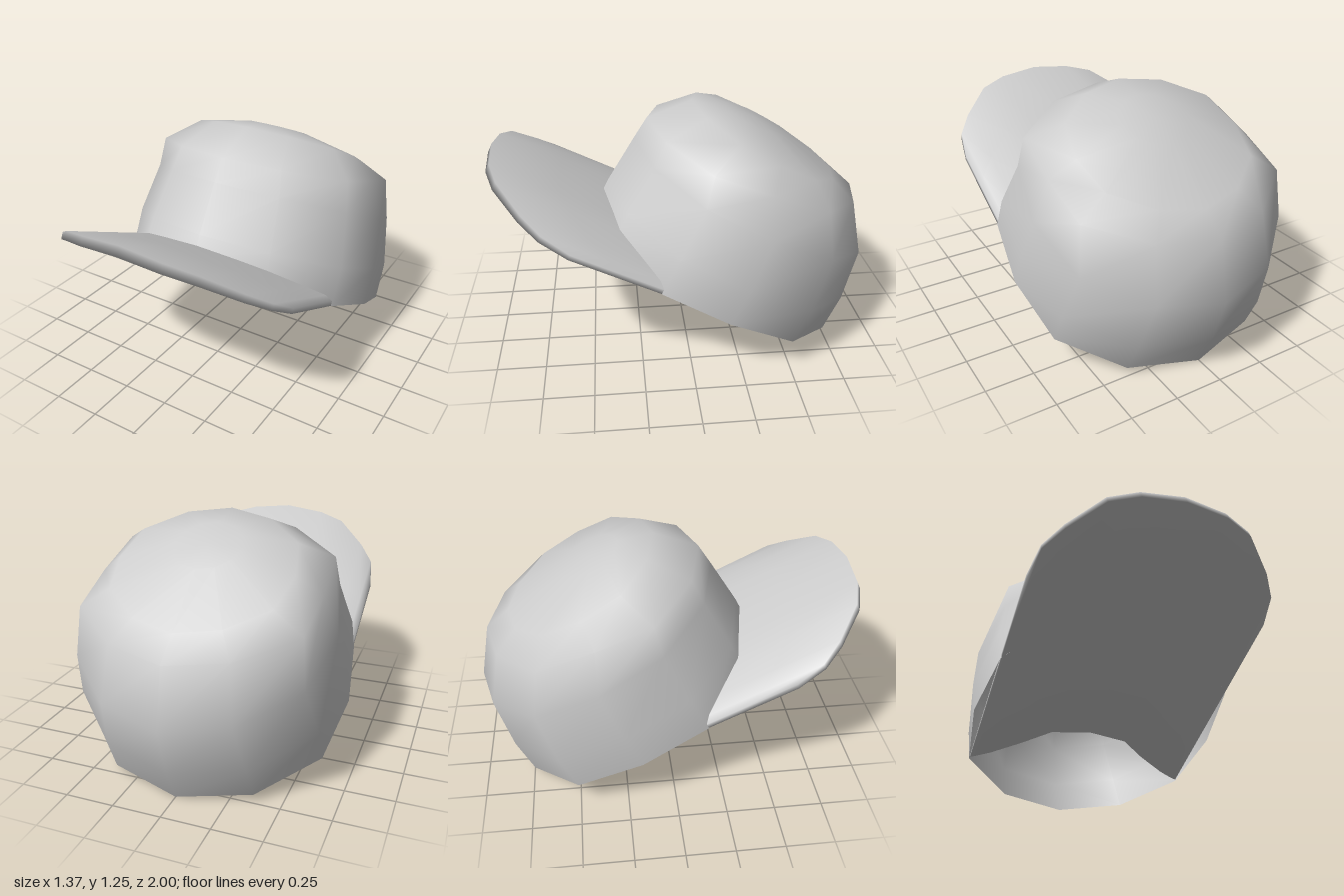
import * as THREE from 'three';
import { mergeVertices, mergeGeometries } from 'three/addons/utils/BufferGeometryUtils.js';

const { lerp, smoothstep } = THREE.MathUtils;

// Grid surface; fn(i, j) returns a point, front side is di x dj
function sheet(ni, nj, fn) {
  const pos = [], index = [];
  for (let j = 0; j <= nj; j++) for (let i = 0; i <= ni; i++) pos.push(...fn(i, j));
  for (let j = 0; j < nj; j++) for (let i = 0; i < ni; i++) {
    const a = j * (ni + 1) + i, b = a + 1, c = a + ni + 1, d = c + 1;
    index.push(a, b, d, a, d, c);
  }
  const g = new THREE.BufferGeometry();
  g.setAttribute('position', new THREE.Float32BufferAttribute(pos, 3));
  g.setIndex(index);
  return g;
}

// Weld sheets into one smooth surface
function weld(...sheets) {
  const g = mergeVertices(mergeGeometries(sheets), 1e-4);
  g.computeVertexNormals();
  return g;
}

export function createModel() {
  const group = new THREE.Group();
  const fabric = new THREE.MeshStandardMaterial({ color: 0xcccccc, side: THREE.DoubleSide });
  fabric.name = 'grey fabric';

  // The cap is built level with its back rim at z = 0, then tilted
  const cap = new THREE.Group();
  cap.name = 'cap';
  cap.rotation.x = -0.456;
  cap.position.z = -0.83;
  group.add(cap);

  // Crown: twelve-sided rings [height, centre z, radius, slope, width factors at 30, 60 and 90 degrees]
  const rings = [
    [0, 0.729, 0.731, 0, 1, 1, 0.937],
    [0.2, 0.729, 0.73, 0, 0.98, 1, 0.94],
    [0.47, 0.737, 0.695, 0, 0.93, 0.97, 0.94],
    [0.655, 0.822, 0.595, -0.058, 1, 1.09, 0.97],
    [0.765, 0.815, 0.431, 0.012, 1.03, 1.1, 1.05],
    [0.824, 0.9, 0.172, 0, 1, 1, 1],
    [0.832, 0.9, 0, 0, 1, 1, 1],
  ];
  const crown = new THREE.Mesh(weld(sheet(12, rings.length - 1, (i, j) => {
    const [h, c, r, slope, ...width] = rings[j];
    const a = (i % 12) * Math.PI / 6, step = i % 6;
    const w = step === 0 ? 1 : width[Math.min(step, 6 - step) - 1];
    // the 90 degree corners sit at steps 3 and 9; the front rim is tucked into the brim
    const lift = j === 0 && Math.cos(a) > 0.8 ? 0.09 : 0;
    return [Math.sin(a) * r * w, h + lift + slope * Math.cos(a), c + r * Math.cos(a)];
  })), fabric);
  crown.name = 'crown';
  cap.add(crown);

  // Brim columns: [x, rear z, front z, top height, bottom height]
  const half = [
    [0, 0.63, 2.084, 0.144, 0.094],
    [0.22, 0.6, 2.062, 0.128, 0.082],
    [0.365, 0.495, 2.005, 0.115, 0.072],
    [0.52, 0.41, 1.85, 0.073, 0.036],
    [0.6, 0.378, 1.735, 0.05, 0.018],
    [0.629, 0.375, 1.58, 0.026, 0],
  ];
  const cols = [...half.slice(1).reverse().map(([x, ...r]) => [-x, ...r]), ...half];
  const nc = cols.length - 1, nr = 4;
  const top = (i, j) => {
    const [x, z0, z1, h] = cols[j], t = i / nr;
    return [x, h * lerp(0.6, 1, smoothstep(t, 0, 0.5)), lerp(z0, z1, t)];
  };
  const bottom = (i, j) => {
    const [x, z0, z1, , h] = cols[j], t = i / nr;
    return [x, h * lerp(0.5, 1, smoothstep(t, 0.2, 1)), lerp(z0, z1, t)];
  };

  // Brim edge runs round the outline: left side, front, right side, rear
  const outline = [];
  for (let i = 0; i < nr; i++) outline.push([i, 0]);
  for (let j = 0; j < nc; j++) outline.push([nr, j]);
  for (let i = nr; i > 0; i--) outline.push([i, nc]);
  for (let j = nc; j >= 0; j--) outline.push([0, j]);

  const brim = new THREE.Mesh(weld(
    sheet(nr, nc, top),
    sheet(nc, nr, (i, j) => bottom(j, i)),
    sheet(outline.length - 1, 1, (i, j) => (j ? top : bottom)(...outline[i])),
  ), fabric);
  brim.name = 'brim';
  cap.add(brim);

  return group;
}
